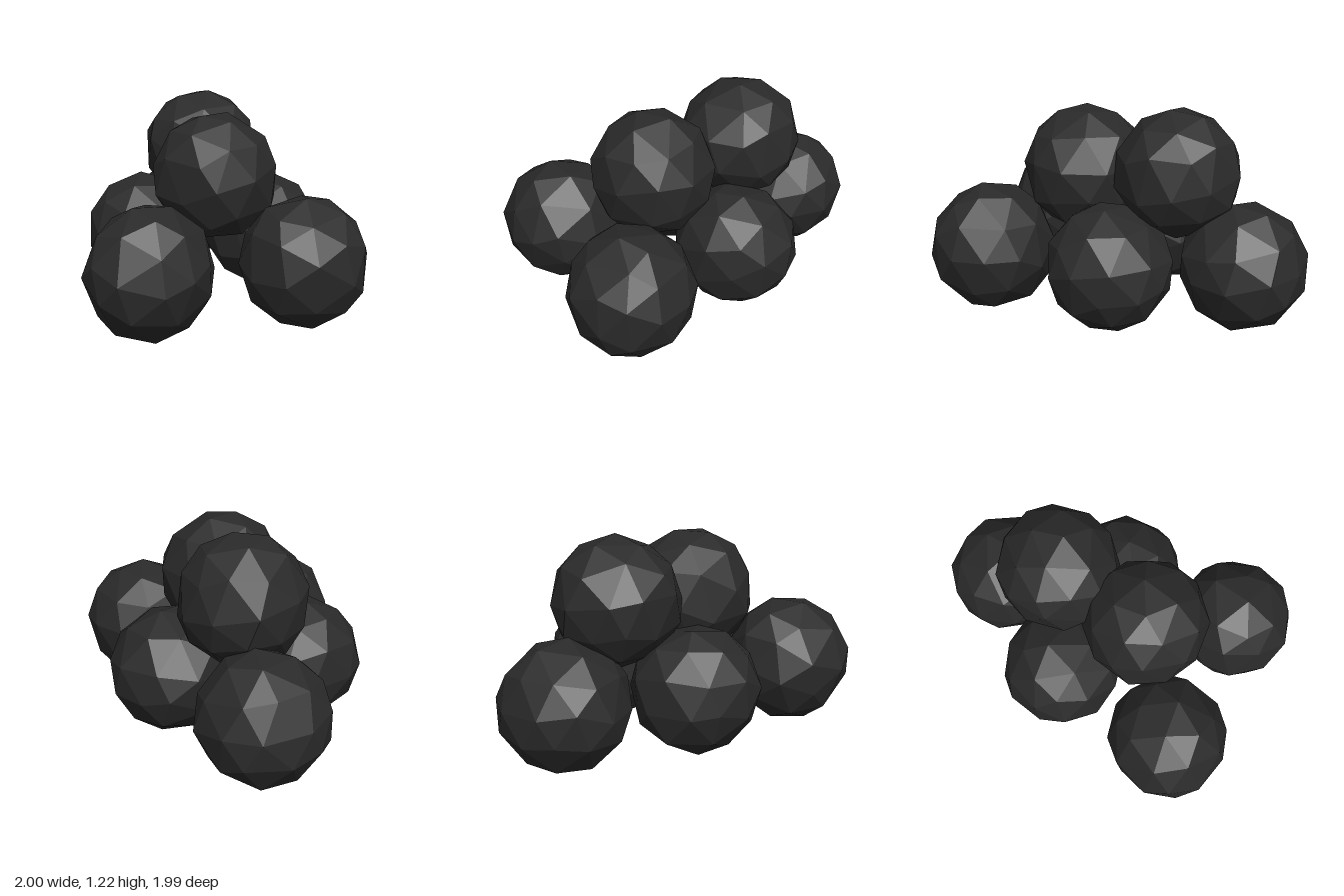
import * as THREE from 'three';
import { ConvexGeometry } from 'three/addons/geometries/ConvexGeometry.js';
import { mergeVertices } from 'three/addons/utils/BufferGeometryUtils.js';

// Small seeded generator, values in 0..1
function seeded(seed) {
  let s = seed * 7919 + 17;
  return () => {
    s = (s * 16807) % 2147483647;
    return s / 2147483647;
  };
}

// Rough ball: a once-divided icosahedron with its corners nudged unevenly,
// turned and wrapped in a hull
function lumpGeometry(seed, size) {
  const rand = seeded(seed);
  for (let i = 0; i < 5; i++) rand();
  const turn = new THREE.Euler(rand() * 6.28, rand() * 6.28, rand() * 6.28);
  const ball = new THREE.IcosahedronGeometry(1, 1);
  ball.deleteAttribute('normal');
  ball.deleteAttribute('uv');
  const position = mergeVertices(ball, 1e-3).attributes.position;
  const points = [];
  for (let i = 0; i < position.count; i++) {
    const p = new THREE.Vector3().fromBufferAttribute(position, i);
    p.x += (rand() - 0.5) * 0.16;
    p.y += (rand() - 0.5) * 0.16;
    p.z += (rand() - 0.5) * 0.16;
    // Keep a little of the nudge in height
    p.setLength(0.8 + 0.2 * p.length()).applyEuler(turn);
    points.push(p);
  }
  // Give the ball its size, centred on its origin
  const geometry = new ConvexGeometry(points);
  geometry.center();
  const d = geometry.boundingBox.getSize(new THREE.Vector3());
  geometry.scale(size[0] / d.x, size[1] / d.y, size[2] / d.z);
  return geometry;
}

export function createModel() {
  const model = new THREE.Group();
  model.name = 'lumpPile';
  const material = new THREE.MeshStandardMaterial({ color: 0x2a2a2a, flatShading: true });

  // Five lumps on the ground and two resting on top
  const lumps = [
    { name: 'frontLump', at: [0.06, 0.36, 0.63], size: [0.7, 0.72, 0.72] },
    { name: 'leftLump', at: [0.65, 0.37, 0.01], size: [0.7, 0.74, 0.7] },
    { name: 'rightLump', at: [-0.45, 0.385, 0.06], size: [0.72, 0.71, 0.72] },
    { name: 'backLump', at: [0.065, 0.37, -0.45], size: [0.71, 0.71, 0.71] },
    { name: 'backRightLump', at: [-0.65, 0.38, -0.635], size: [0.7, 0.71, 0.72] },
    { name: 'upperFrontLump', at: [0.065, 0.785, 0.045], size: [0.71, 0.72, 0.71] },
    { name: 'upperBackLump', at: [-0.345, 0.86, -0.365], size: [0.71, 0.72, 0.71] },
  ];
  lumps.forEach(({ name, at, size }, i) => {
    const lump = new THREE.Mesh(lumpGeometry(i + 1, size), material);
    lump.name = name;
    lump.position.set(...at);
    model.add(lump);
  });
  return model;
}
